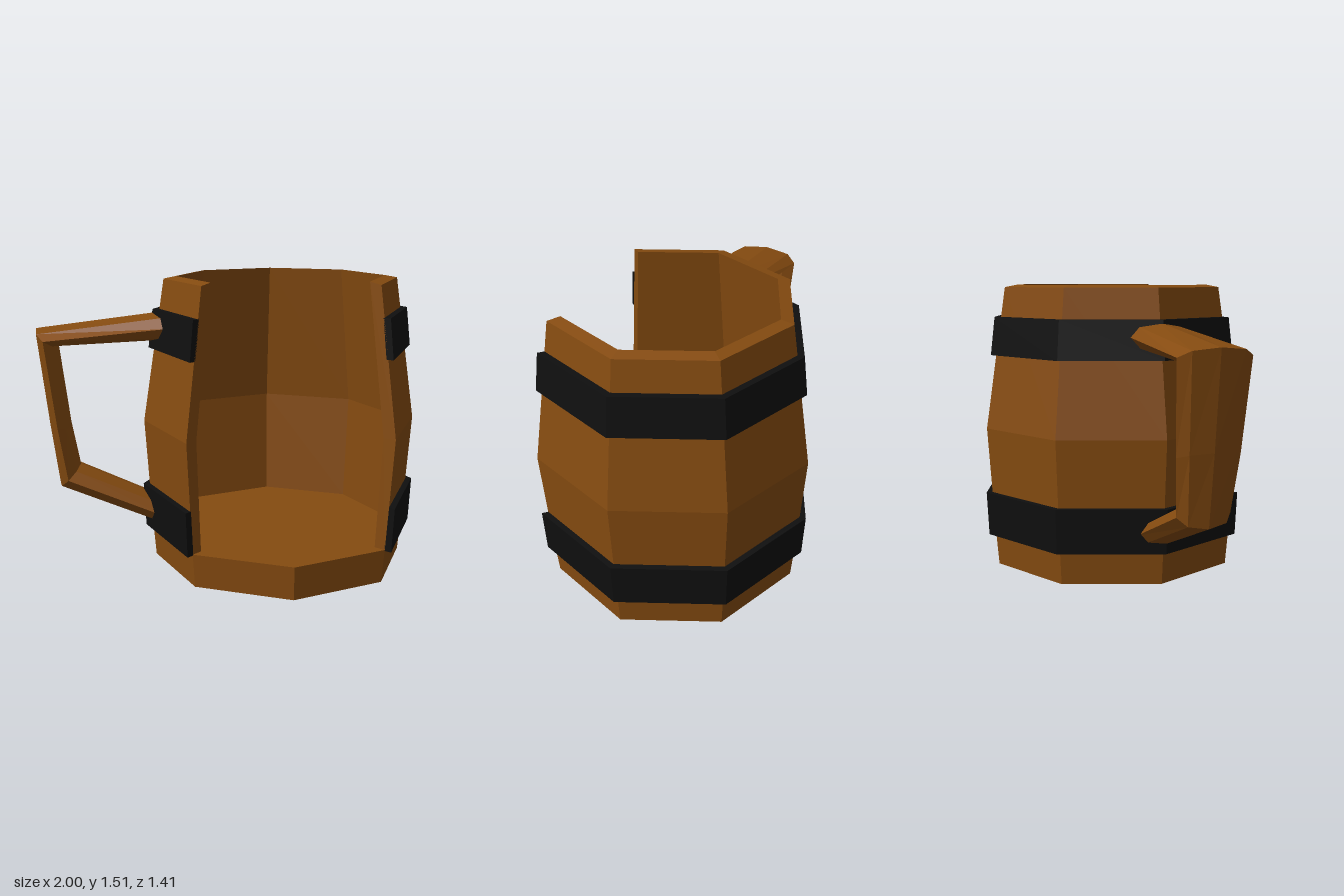
import * as THREE from 'three';

const SIDES = 8;
const CENTRE = new THREE.Vector3(0.265, 0, 0.02);

// Closed solid through a list of rings; outline is the counter-clockwise 2D form of a ring, used for the caps
function loft(rings, outline) {
  const n = outline.length, pos = [], index = [];
  rings.forEach(ring => ring.forEach(p => pos.push(p.x, p.y, p.z)));
  for (let s = 0; s < rings.length - 1; s++) {
    for (let i = 0; i < n; i++) {
      const a = s * n + i, b = s * n + (i + 1) % n;
      index.push(a, b, b + n, a, b + n, a + n);
    }
  }
  const last = (rings.length - 1) * n;
  for (const [a, b, c] of THREE.ShapeUtils.triangulateShape(outline, [])) {
    index.push(a, c, b, last + a, last + b, last + c);
  }
  const geo = new THREE.BufferGeometry();
  geo.setAttribute('position', new THREE.Float32BufferAttribute(pos, 3));
  geo.setIndex(index);
  const flat = geo.toNonIndexed();
  flat.computeVertexNormals();
  return flat;
}

// Sweep a (radius, height) profile around the six closed sides, leaving the front two open
function openRing(profile) {
  const outline = profile.map(([r, y]) => new THREE.Vector2(r, y));
  const rings = [];
  for (let s = SIDES - 1; s >= 1; s--) {
    const phi = s * Math.PI * 2 / SIDES;
    rings.push(outline.map(p => new THREE.Vector3(p.x * Math.sin(phi), p.y, p.x * Math.cos(phi))));
  }
  return loft(rings, outline);
}

// Flattened octagonal bar; each section is [outer x, outer y, inner x, inner y, half depth]
function handleBar(sections) {
  const angles = Array.from({ length: 8 }, (_, k) => k * Math.PI / 4);
  const rings = sections.map(([ox, oy, ix, iy, hz]) => angles.map(t => new THREE.Vector3(
    (ox + ix) / 2 + (ox - ix) / 2 * Math.cos(t),
    (oy + iy) / 2 + (oy - iy) / 2 * Math.cos(t),
    -hz * Math.sin(t))));
  return loft(rings, angles.map(t => new THREE.Vector2(Math.cos(t), Math.sin(t))));
}

export function createModel() {
  const model = new THREE.Group();
  model.name = 'tankard';
  const wood = new THREE.MeshStandardMaterial({ color: 0x854b10 });
  wood.name = 'brown wood';
  const iron = new THREE.MeshStandardMaterial({ color: 0x0f0f0f });
  iron.name = 'black iron';
  wood.flatShading = iron.flatShading = true;

  const add = (name, geo, mat, x, y, z) => {
    const mesh = new THREE.Mesh(geo, mat);
    mesh.name = name;
    mesh.position.set(x, y, z);
    model.add(mesh);
  };

  // Solid floor
  add('base', new THREE.CylinderGeometry(0.682, 0.667, 0.175, SIDES), wood, CENTRE.x, 0.0875, CENTRE.z);

  // Bulging wall, open at the front
  add('barrelWall', openRing([
    [0.682, 0.175], [0.72, 0.75], [0.607, 1.495], [0.542, 1.507], [0.65, 0.75], [0.622, 0.175],
  ]), wood, CENTRE.x, 0, CENTRE.z);

  // Hoops
  add('lowerBand', openRing([[0.678, 0.17], [0.719, 0.17], [0.73, 0.402], [0.692, 0.402]]),
    iron, CENTRE.x, 0, CENTRE.z);
  add('upperBand', openRing([[0.65, 1.14], [0.69, 1.14], [0.666, 1.34], [0.625, 1.34]]),
    iron, CENTRE.x, 0, CENTRE.z);

  // Handle on the right side
  add('handle', handleBar([
    [-0.33, 1.33, -0.33, 1.18, 0.15],
    [-1, 1.245, -0.89, 1.158, 0.19],
    [-0.95, 0.77, -0.835, 0.73, 0.165],
    [-0.905, 0.41, -0.795, 0.52, 0.14],
    [-0.37, 0.19, -0.37, 0.33, 0.12],
  ]), wood, 0, 0, CENTRE.z);

  return model;
}
